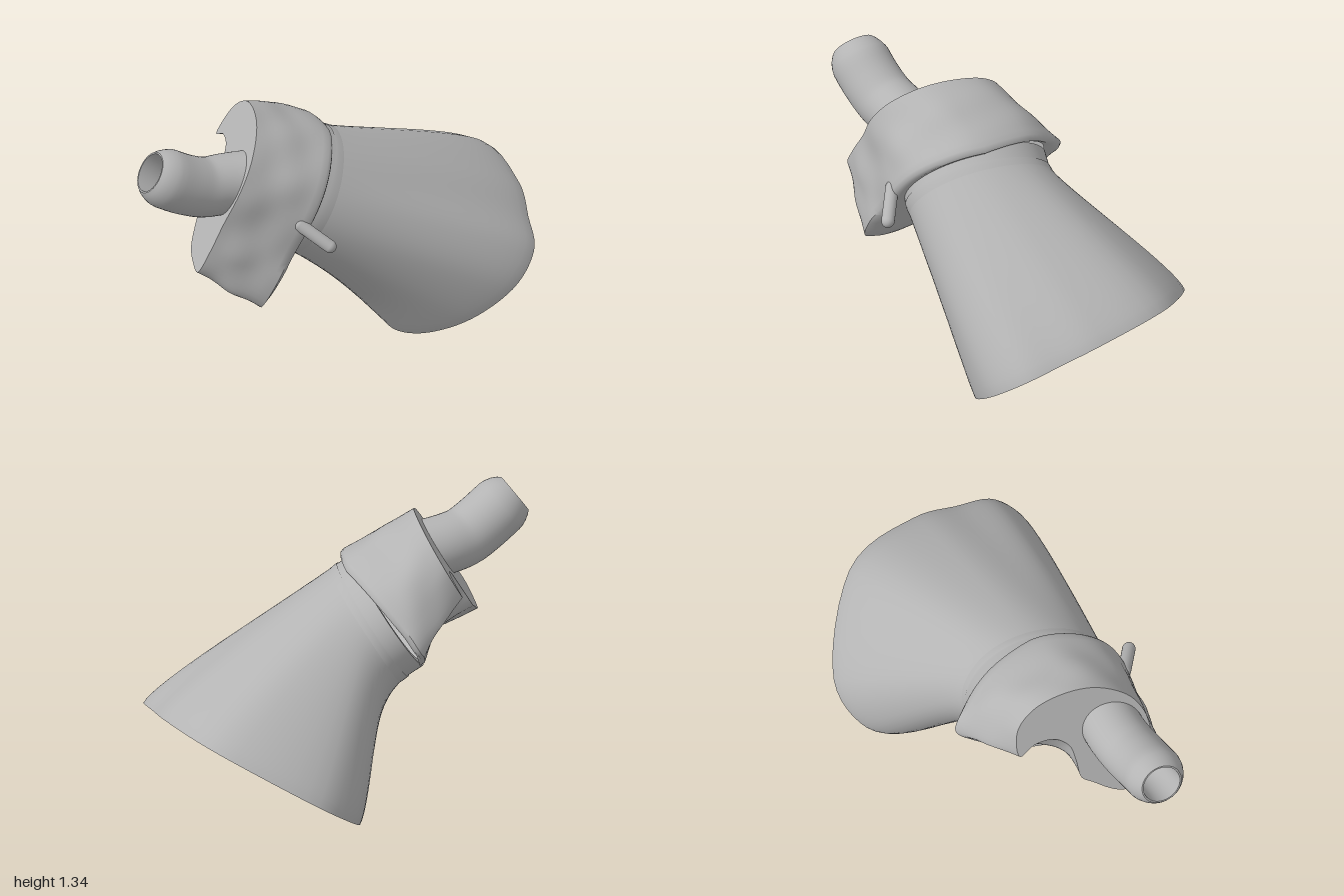
import * as THREE from 'three';
import { toCreasedNormals } from 'three/addons/utils/BufferGeometryUtils.js';

const V = (x, y, z) => new THREE.Vector3(x, y, z);
const grey = new THREE.MeshStandardMaterial({ color: 0xb4b4b4, side: THREE.DoubleSide });
grey.name = 'grey plastic';

// Tilted frame shared by collar and neck: d along the axis, u upward, v = z
const axis = V(0.853, -0.522, 0);
const at = (d, v, u) => V(0.853 * d + 0.522 * u, -0.522 * d + 0.853 * u, v);

// Skin between closed rings of equal point count
function loft(rings) {
  const n = rings[0].length, pos = [], idx = [];
  rings.forEach(r => r.forEach(p => pos.push(p.x, p.y, p.z)));
  for (let i = 0; i < rings.length - 1; i++) {
    for (let j = 0; j < n; j++) {
      const a = i * n + j, b = i * n + (j + 1) % n;
      idx.push(a, a + n, b, b, a + n, b + n);
    }
  }
  const g = new THREE.BufferGeometry();
  g.setAttribute('position', new THREE.Float32BufferAttribute(pos, 3));
  g.setIndex(idx);
  g.computeVertexNormals();
  return g;
}

// Smooth closed outline through [a, b] pairs
function outline(pairs, count) {
  const c = new THREE.CatmullRomCurve3(pairs.map(([a, b]) => V(a, b, 0)), true, 'centripetal');
  return Array.from({ length: count }, (_, i) => c.getPoint(i / count));
}

const NECK = { v: 0.19, u: 0.66, rv: 0.37, ru: 0.305 };
const SEG = 72;

function inset(ring, amount) {
  const c = ring.reduce((s, p) => s.add(p), V(0, 0, 0)).divideScalar(ring.length);
  return ring.map(p => p.clone().add(c.clone().sub(p).setLength(amount)));
}

export function createModel() {
  const group = new THREE.Group();
  const add = (name, geo) => {
    const m = new THREE.Mesh(geo, grey);
    m.name = name;
    group.add(m);
    return m;
  };

  // Flared mouth: an irregular rim lying in a slanted plane, from the top round the front
  const rim = outline([
    [-0.1, 0.59], [0.12, 0.525], [0.33, 0.45], [0.455, 0.32], [0.465, 0.17], [0.38, 0.055],
    [0.24, 0.0], [0, 0.03], [-0.3, 0.045], [-0.61, 0.18], [-0.71, 0.37], [-0.49, 0.605],
  ], SEG).map(p => V(0.2 + 1.42 * p.y + 0.5 * p.x, p.y, p.x));
  const mouthDir = V(0.54, -0.8, -0.265);
  const neck = d => Array.from({ length: SEG }, (_, i) => {
    const t = i / SEG * Math.PI * 2;
    return at(d, NECK.v + NECK.rv * Math.sin(t), NECK.u + NECK.ru * Math.cos(t));
  });
  const curves = neck(-0.56).map((p, i) => {
    const lead = 0.12 - 0.06 * Math.cos(i / SEG * Math.PI * 2);
    return new THREE.CubicBezierCurve3(
      p, p.clone().addScaledVector(axis, lead), rim[i].clone().addScaledVector(mouthDir, -0.14), rim[i]);
  });
  const shell = [neck(-0.64)];
  for (let k = 0; k <= 20; k++) shell.push(curves.map(c => c.getPoint(k / 20)));
  const inner = shell.map(r => inset(r, 0.04));
  add('maskShell', loft(shell));
  add('maskLining', loft([...inner].reverse()));
  add('mouthLip', loft([shell.at(-1), inner.at(-1)]));
  add('neckEdge', loft([inner[0], shell[0]]));

  // Raised band round the neck
  add('neckBand', loft([0, 1, 2].map(k => curves.map(c => {
    const p = c.getPoint(0.02 + k * 0.045);
    const out = p.clone().sub(at(-0.56 + 0.03 * k, NECK.v, NECK.u)).normalize();
    return p.addScaledVector(out, k === 2 ? 0 : 0.004);
  }))));

  // Cloth-like collar with a notch at the back, lofted from cap to hem
  const N = 108;
  const cap = outline([
    [-0.03, 0.62], [-0.02, 0.79], [0.08, 0.9], [0.24, 0.945], [0.4, 0.925], [0.55, 0.82],
    [0.62, 0.68], [0.64, 0.5], [0.67, 0.35], [0.67, 0.22], [0.55, 0.2], [0.42, 0.22],
    [0.3, 0.32], [0.25, 0.37], [0.24, 0.48], [0.22, 0.6], [0.15, 0.67], [0.05, 0.67],
  ], N);
  const hem = outline([
    [-0.28, 0.65], [-0.2, 0.79], [-0.04, 0.93], [0.24, 1.0], [0.42, 0.95], [0.55, 0.85],
    [0.62, 0.7], [0.65, 0.5], [0.69, 0.35], [0.68, 0.19], [0.58, 0.19], [0.47, 0.25],
    [0.35, 0.33], [0.27, 0.36], [0.17, 0.37], [0.03, 0.41], [-0.1, 0.47], [-0.21, 0.56],
  ], N);
  const capD = u => -1.02 + 0.065 * (0.95 - u);
  const hemD = (v, u) => -0.62 + 0.04 * (1 - u) - 0.09 * THREE.MathUtils.clamp((0.2 - v) / 0.45, 0, 1);
  const rings = [];
  for (let k = 0; k <= 12; k++) {
    const t = k / 12, s = Math.sin(t * Math.PI);
    rings.push(cap.map((p, j) => {
      const h = hem[j], q = p.clone().lerp(h, t);
      const bulge = q.y > 0.6 && q.x < 0.25 ? 0.13 * Math.min(0.25 - q.x, q.y - 0.6) : 0;
      const w = 1 + s * (bulge + 0.012 * Math.sin(j * 0.55 + t * 5) + 0.009 * Math.sin(j * 0.23 - t * 9));
      const d = THREE.MathUtils.lerp(capD(p.y), hemD(h.x, h.y), t);
      return at(d, 0.25 + (q.x - 0.25) * w, 0.6 + (q.y - 0.6) * w);
    }));
  }
  // Rounded hem turning in to the neck
  for (const [f, lift] of [[0.15, 0.02], [0.5, 0.03], [1, 0.025]]) {
    rings.push(hem.map(p => {
      const x = p.x - NECK.v, y = p.y - NECK.u;
      const k = 1 / Math.hypot(x / NECK.rv, y / NECK.ru);
      const m = 1 + (Math.min(k, 1) - 1) * f;
      return at(hemD(p.x, p.y) + lift, NECK.v + x * m, NECK.u + y * m);
    }));
  }
  add('collar', toCreasedNormals(loft(rings), 0.8));

  // Flat end of the collar, pierced by the spout's bore
  const capShape = new THREE.Shape(cap.map(p => new THREE.Vector2(p.x, p.y)));
  capShape.holes.push(new THREE.Path().absarc(0.44, 0.67, 0.085, 0, Math.PI * 2, true));
  const capGeo = new THREE.ShapeGeometry(capShape, 32);
  const cp = capGeo.attributes.position;
  for (let i = 0; i < cp.count; i++) {
    const p = at(capD(cp.getY(i)), cp.getX(i), cp.getY(i));
    cp.setXYZ(i, p.x, p.y, p.z);
  }
  capGeo.computeVertexNormals();
  add('collarCap', capGeo);

  // Bent spout: swept circles with a rounded end and a hollow bore
  const path = new THREE.CatmullRomCurve3([
    V(-0.4, 1.06, 0.43), V(-0.55, 1.065, 0.455), V(-0.66, 1.075, 0.49),
    V(-0.76, 1.12, 0.525), V(-0.86, 1.183, 0.555), V(-0.94, 1.235, 0.57),
  ]);
  const hoop = (t, r) => {
    const c = path.getPointAt(t), dir = path.getTangentAt(t);
    const side = V(0, 1, 0).cross(dir).normalize(), up = dir.clone().cross(side);
    return Array.from({ length: 40 }, (_, i) => {
      const a = i / 40 * Math.PI * 2;
      return c.clone().addScaledVector(side, r * Math.cos(a)).addScaledVector(up, r * Math.sin(a));
    });
  };
  const spout = [hoop(0, 0.09)];
  for (let k = 0; k <= 16; k++) spout.push(hoop(k / 16 * 0.84, 0.15));
  [[0.88, 0.146], [0.93, 0.135], [0.97, 0.121], [1, 0.106], [1, 0.098], [0.9, 0.094], [0.75, 0.092], [0.55, 0.09], [0.4, 0.09], [0.2, 0.09], [0, 0.09]]
    .forEach(([t, r]) => spout.push(hoop(t, r)));
  add('spout', toCreasedNormals(loft(spout), 0.8));

  // Small peg on the front of the neck
  const a = V(-0.2, 0.89, 0.612), b = V(-0.06, 0.795, 0.68);
  const peg = add('peg', new THREE.CapsuleGeometry(0.033, a.distanceTo(b), 8, 20));
  peg.position.copy(a).add(b).multiplyScalar(0.5);
  peg.quaternion.setFromUnitVectors(V(0, 1, 0), b.clone().sub(a).normalize());

  return group;
}
